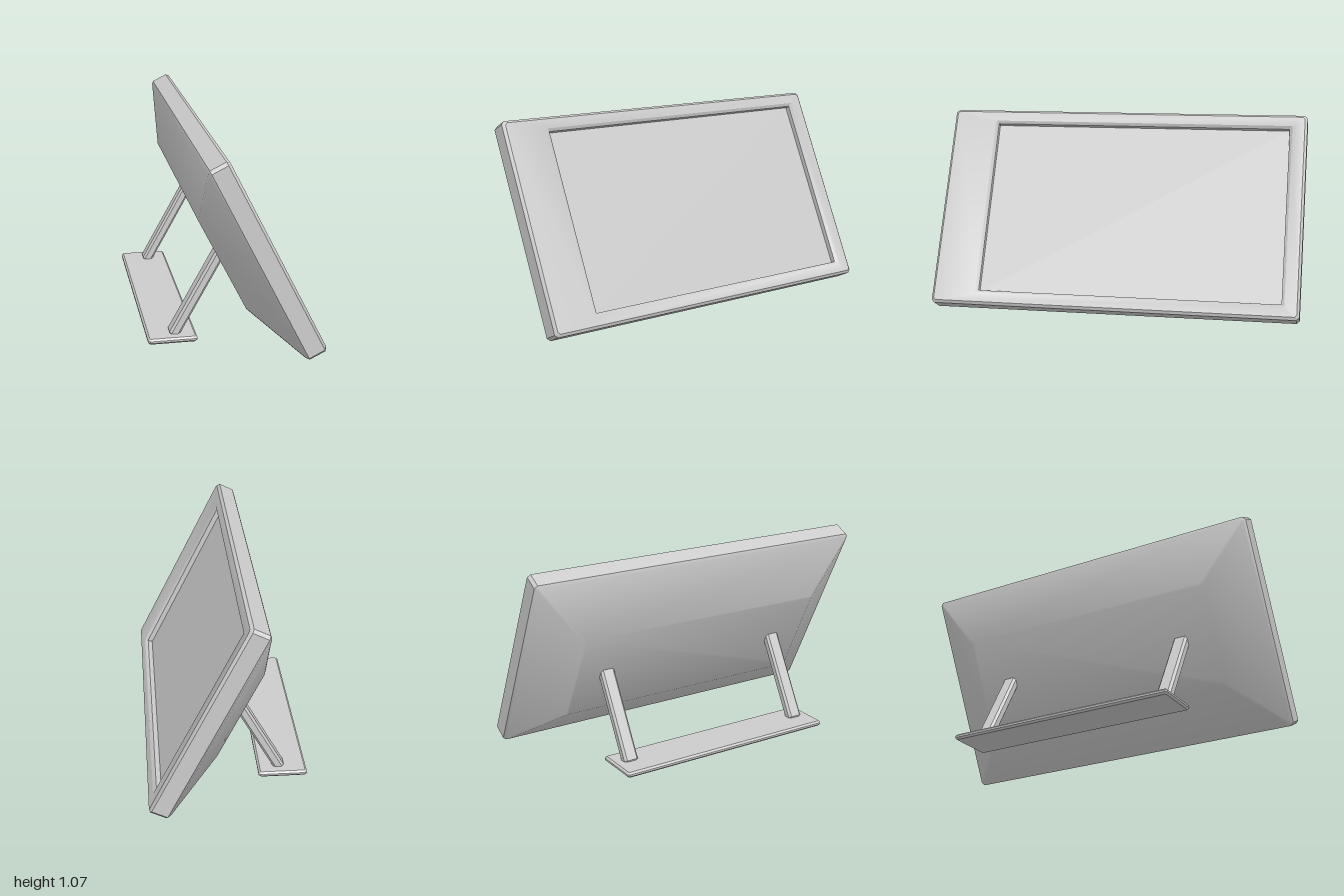
import * as THREE from 'three';
import { toCreasedNormals } from 'three/addons/utils/BufferGeometryUtils.js';

const material = new THREE.MeshStandardMaterial({ color: 0xcccccc });

// Rectangle in the yz plane with clipped corners, counter-clockwise seen from +x
function ring(x, y0, y1, z0, z1, c) {
  return [
    [x, y1, z0 + c], [x, y1, z1 - c], [x, y1 - c, z1], [x, y0 + c, z1],
    [x, y0, z1 - c], [x, y0, z0 + c], [x, y0 + c, z0], [x, y1 - c, z0],
  ];
}

// Joins successive rings into a closed skin with a cap at each end
function loft(name, rings, crease = 0.6) {
  const positions = [];
  const tri = (a, b, c) => positions.push(...a, ...b, ...c);
  const n = rings[0].length;
  for (let i = 0; i < rings.length - 1; i++) {
    for (let k = 0; k < n; k++) {
      const a = rings[i][k], b = rings[i][(k + 1) % n];
      const c = rings[i + 1][(k + 1) % n], d = rings[i + 1][k];
      tri(a, b, c);
      tri(a, c, d);
    }
  }
  const first = rings[0], last = rings[rings.length - 1];
  for (let k = 1; k < n - 1; k++) {
    tri(first[0], first[k + 1], first[k]);
    tri(last[0], last[k], last[k + 1]);
  }
  const geometry = new THREE.BufferGeometry();
  geometry.setAttribute('position', new THREE.Float32BufferAttribute(positions, 3));
  const mesh = new THREE.Mesh(toCreasedNormals(geometry, crease), material);
  mesh.name = name;
  return mesh;
}

// Box along local x, with every edge bevelled by b
function bevelledBar(name, length, height, depth, b) {
  const h = height / 2, d = depth / 2;
  return loft(name, [
    ring(0, -h + b, h - b, -d + b, d - b, b * 0.5),
    ring(b, -h, h, -d, d, b),
    ring(length - b, -h, h, -d, d, b),
    ring(length, -h + b, h - b, -d + b, d - b, b * 0.5),
  ], 0.3);
}

export function createModel() {
  const model = new THREE.Group();
  model.name = 'tiltedScreen';

  // Housing: tapered back, bevelled slab, off-centre recess with the screen as its floor
  const housing = loft('screenHousing', [
    ring(0.154, 0.152, 0.706, -0.74, 0.74, 0.014),
    ring(0.299, -0.121, 0.985, -0.986, 0.986, 0.012),
    ring(0.313, -0.135, 0.999, -1, 1, 0.016),
    ring(0.402, -0.135, 0.999, -1, 1, 0.016),
    ring(0.416, -0.121, 0.985, -0.986, 0.986, 0.012),
    ring(0.416, -0.069, 0.933, -0.92, 0.755, 0.002),
    ring(0.402, -0.055, 0.919, -0.905, 0.74, 0.002),
    ring(0.374, -0.055, 0.919, -0.905, 0.74, 0.002),
  ]);
  housing.rotation.z = 0.466;
  model.add(housing);

  // Two slanted legs running up into the back
  for (const side of [-1, 1]) {
    const leg = bevelledBar(side > 0 ? 'leftLeg' : 'rightLeg', 0.56, 0.055, 0.082, 0.012);
    leg.position.set(-0.29, 0.015, side * 0.547);
    leg.rotation.z = 1.063;
    model.add(leg);
  }

  // Flat foot plate
  const foot = bevelledBar('footPlate', 0.03, 0.26, 1.28, 0.01);
  foot.position.x = -0.298;
  foot.rotation.z = Math.PI / 2;
  model.add(foot);

  return model;
}
